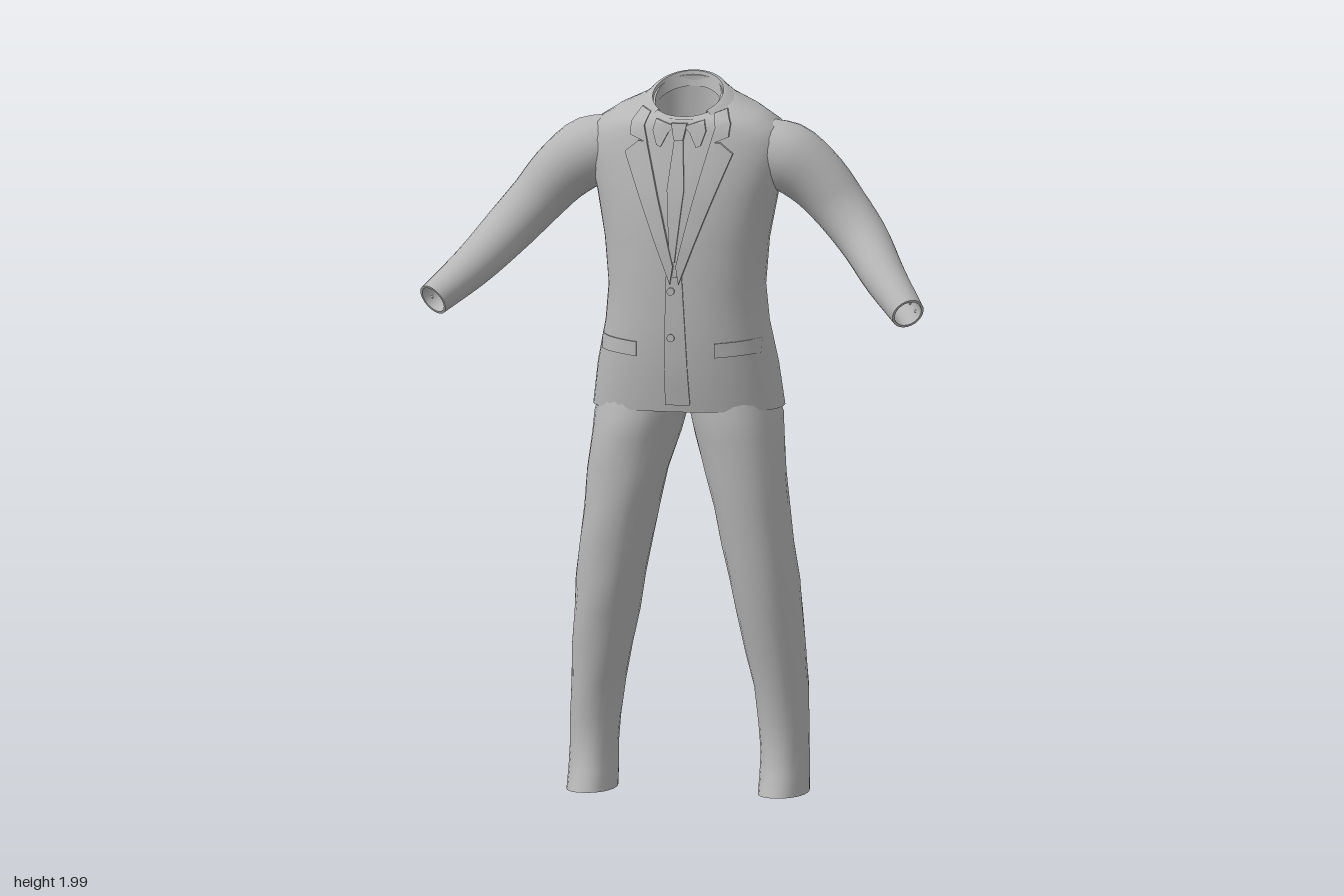
import * as THREE from 'three';
import { toCreasedNormals } from 'three/addons/utils/BufferGeometryUtils.js';

const cloth = new THREE.MeshStandardMaterial({ color: 0xb6b6b6, side: THREE.DoubleSide });
cloth.name = 'grey cloth';

const V = (x, y, z) => new THREE.Vector3(x, y, z);

function addMesh(group, name, geometry, crease = 0.9) {
  const mesh = new THREE.Mesh(toCreasedNormals(geometry, crease), cloth);
  mesh.name = name;
  group.add(mesh);
  return mesh;
}

// Skin a list of equally long point rows; closed rows wrap around
function loft(rows, closed = true, capStart = false, capEnd = false) {
  const n = rows[0].length, pts = rows.flat(), index = [];
  for (let i = 0; i < rows.length - 1; i++) {
    for (let j = 0; j < (closed ? n : n - 1); j++) {
      const k = (j + 1) % n;
      const a = i * n + j, b = i * n + k, c = b + n, d = a + n;
      index.push(a, b, c, a, c, d);
    }
  }
  const cap = (row, flip) => {
    const mid = row.reduce((s, p) => s.add(p), V(0, 0, 0)).divideScalar(n);
    const start = pts.length;
    pts.push(mid, ...row);
    for (let j = 0; j < n; j++) {
      const a = start + 1 + j, b = start + 1 + (j + 1) % n;
      index.push(start, ...(flip ? [b, a] : [a, b]));
    }
  };
  if (capStart) cap(rows[0], true);
  if (capEnd) cap(rows[rows.length - 1], false);
  const geo = new THREE.BufferGeometry().setFromPoints(pts);
  geo.setIndex(index);
  return geo;
}

// Horizontal cross-section [y, half width, front z, back z, tilt]
function section([y, rx, zf, zb, tilt = 0], n = 40, from = 0, to = Math.PI * 2, power = 2.35) {
  const cz = (zf + zb) / 2, rz = (zf - zb) / 2, open = to - from < 6.28;
  const bend = v => Math.sign(v) * Math.abs(v) ** (2 / power);
  return Array.from({ length: n }, (_, j) => {
    const t = from + (to - from) * j / (open ? n - 1 : n);
    const z = rz * bend(Math.cos(t));
    return V(rx * bend(Math.sin(t)), y - tilt * z, cz + z);
  });
}

const JACKET = [
  [1.14, 0.235, 0.09, -0.2], [1.085, 0.255, 0.11, -0.23],
  [1.08, 0.266, 0.12, -0.24], [1.2, 0.25, 0.138, -0.235],
  [1.32, 0.226, 0.142, -0.218], [1.42, 0.217, 0.14, -0.208],
  [1.55, 0.228, 0.138, -0.207], [1.68, 0.252, 0.122, -0.212],
  [1.76, 0.275, 0.102, -0.21], [1.82, 0.283, 0.085, -0.205],
  [1.87, 0.26, 0.075, -0.193, 0.1], [1.905, 0.2, 0.068, -0.178, 0.2],
  [1.925, 0.14, 0.06, -0.163, 0.32], [1.94, 0.105, 0.055, -0.15, 0.5],
  [1.94, 0.09, 0.045, -0.135, 0.5], [1.84, 0.085, 0.03, -0.14, 0.3],
];

const COLLAR = [
  [1.91, 0.09, 0.047, -0.133, 0.5], [1.948, 0.098, 0.055, -0.14, 0.5],
  [1.945, 0.109, 0.062, -0.15, 0.5], [1.905, 0.155, 0.08, -0.18, 0.38],
];

// Sleeve stations: x, y, z, radius
const SLEEVE = [
  [0.2, 1.8, -0.058, 0.085], [0.28, 1.775, -0.058, 0.098], [0.36, 1.715, -0.062, 0.087],
  [0.43, 1.637, -0.055, 0.077], [0.5, 1.558, -0.018, 0.071],
  [0.58, 1.468, 0.083, 0.06], [0.67, 1.385, 0.197, 0.047],
];

function sleeveRows(side, n = 24, steps = 20) {
  const curve = new THREE.CatmullRomCurve3(SLEEVE.map(([x, y, z]) => V(x * side, y, z)));
  const ring = (t, scale) => {
    const c = curve.getPoint(t), T = curve.getTangent(t);
    const f = t * (SLEEVE.length - 1), i = Math.min(Math.floor(f), SLEEVE.length - 2);
    const r = scale * THREE.MathUtils.lerp(SLEEVE[i][3], SLEEVE[i + 1][3], f - i);
    const v = V(side, 1, 0);
    v.addScaledVector(T, -v.dot(T)).normalize();
    const u = v.clone().cross(T);
    return Array.from({ length: n }, (_, j) => {
      const a = j / n * Math.PI * 2;
      return c.clone().addScaledVector(u, r * Math.cos(a)).addScaledVector(v, r * Math.sin(a));
    });
  };
  const rows = Array.from({ length: steps + 1 }, (_, i) => ring(i / steps, 1));
  rows.push(ring(1, 0.85), ring(0.9, 0.7));
  return rows;
}

// Trouser stations: y, inner x, outer x, front z, back z
const LEG = [
  [0.06, 0.225, 0.315, 0.03, -0.15], [0.008, 0.21, 0.33, 0.078, -0.162],
  [0.004, 0.203, 0.337, 0.085, -0.17], [0.06, 0.203, 0.336, 0.055, -0.17],
  [0.12, 0.204, 0.334, 0.038, -0.17], [0.2, 0.198, 0.334, 0.036, -0.172],
  [0.3, 0.185, 0.33, 0.048, -0.182], [0.4, 0.163, 0.325, 0.064, -0.184],
  [0.5, 0.142, 0.318, 0.082, -0.182], [0.6, 0.122, 0.31, 0.094, -0.176],
  [0.7, 0.102, 0.298, 0.102, -0.168], [0.8, 0.08, 0.285, 0.108, -0.165],
  [0.9, 0.056, 0.276, 0.11, -0.172], [1.0, 0.026, 0.267, 0.11, -0.195],
  [1.06, 0.008, 0.26, 0.108, -0.215], [1.15, -0.015, 0.235, 0.09, -0.2],
];

function legRows(side) {
  return LEG.map(([y, xi, xo, zf, zb]) => section([y, (xo - xi) / 2, zf, zb], 28, 0, Math.PI * 2, 2.2)
    .map((p, j) => {
      // slight folds in the cloth
      const fold = 1 + 0.018 * Math.sin(y * 26 + side * j * 0.67) * Math.min(1, y * 4);
      const cz = (zf + zb) / 2;
      return V(side * (xi + xo) / 2 + p.x * fold, p.y, cz + (p.z - cz) * fold);
    }));
}

export function createModel() {
  const suit = new THREE.Group();
  suit.name = 'suit';

  const jacket = addMesh(suit, 'jacketBody',
    loft(JACKET.map(r => section(r)), true, true, true));
  jacket.updateMatrixWorld(true);

  // Depth of the jacket surface, from the front (1) or back (-1)
  const ray = new THREE.Raycaster();
  const surface = (x, y, facing, fallback) => {
    ray.set(V(x + 1e-4, y + 1e-4, facing), V(0, 0, -facing));
    const hit = ray.intersectObject(jacket)[0];
    return hit ? hit.point.z : fallback;
  };

  // Raised cloth piece between two edge lines, laid on the jacket
  function panel(name, A, B, lift = 0.009, facing = 1) {
    const along = 5, across = 6, rows = [];
    const steps = (A.length - 1) * along;
    const at = (L, f) => {
      const i = Math.min(Math.floor(f), L.length - 2);
      return [0, 1].map(k => THREE.MathUtils.lerp(L[i][k], L[i + 1][k], f - i));
    };
    let last = 0.05 * facing;
    for (let i = -1; i <= steps + 1; i++) {
      const f = THREE.MathUtils.clamp(i / along, 0, A.length - 1);
      const a = at(A, f), b = at(B, f), row = [];
      for (let j = -1; j <= across + 1; j++) {
        const t = THREE.MathUtils.clamp(j / across, 0, 1);
        const x = THREE.MathUtils.lerp(a[0], b[0], t), y = THREE.MathUtils.lerp(a[1], b[1], t);
        const rim = i < 0 || i > steps || j < 0 || j > across;
        last = surface(x, y, facing, last);
        row.push(V(x, y, last + facing * (rim ? -0.004 : lift)));
      }
      rows.push(row);
    }
    addMesh(suit, name, loft(rows, false), 0.6);
  }

  // Collar folded around the back of the neck
  addMesh(suit, 'jacketCollar', loft(COLLAR.map(r => section(r, 36, 0.75, Math.PI * 2 - 0.75, 2)), false));

  for (const s of [1, -1]) {
    const side = s > 0 ? 'left' : 'right';
    const m = pts => pts.map(([x, y]) => [x * s, y]);
    addMesh(suit, side + 'Sleeve', loft(sleeveRows(s), true, false, true));
    addMesh(suit, side + 'TrouserLeg', loft(legRows(s), true, true, true));
    panel(side + 'Lapel',
      m([[0.004, 1.49], [0.038, 1.63], [0.074, 1.77], [0.09, 1.83]]),
      m([[0.012, 1.44], [0.085, 1.63], [0.152, 1.8], [0.115, 1.83]]), 0.013);
    panel(side + 'CollarLeaf',
      m([[0.088, 1.825], [0.1, 1.87], [0.09, 1.905]]),
      m([[0.138, 1.845], [0.14, 1.88], [0.12, 1.915]]), 0.011);
    panel(side + 'ShirtCollar',
      m([[0.012, 1.872], [0.03, 1.855], [0.05, 1.815]]),
      m([[0.068, 1.89], [0.075, 1.86], [0.062, 1.82]]), 0.009);
    panel(side + 'PocketFlap',
      m([[0.11, 1.275], [0.225, 1.283]]), m([[0.11, 1.235], [0.225, 1.243]]), 0.008);

    // Row of cuff buttons on the outer side
    for (let i = 0; i < 3; i++) {
      const button = addMesh(suit, side + 'CuffButton', new THREE.SphereGeometry(0.008, 8, 6));
      button.position.set(s * (0.685 - i * 0.02), 1.385 + i * 0.019, 0.147 - i * 0.024);
    }
  }

  // Tie, front overlap and back vent
  panel('tieBlade', [[-0.012, 1.84], [-0.026, 1.7], [-0.014, 1.5]], [[0.012, 1.84], [0.022, 1.7], [0.0, 1.5]], 0.007);
  panel('tieKnot', [[-0.022, 1.88], [-0.013, 1.835]], [[0.022, 1.88], [0.013, 1.835]], 0.014);
  panel('frontOverlap', [[-0.025, 1.46], [-0.028, 1.3], [-0.03, 1.1]], [[0.02, 1.46], [0.03, 1.3], [0.04, 1.1]], 0.005);
  panel('backVent', [[0.0, 1.3], [0.0, 1.085]], [[0.05, 1.3], [0.055, 1.085]], 0.006, -1);

  for (const y of [1.42, 1.29]) {
    const geo = new THREE.CylinderGeometry(0.011, 0.011, 0.008, 14).rotateX(Math.PI / 2);
    const button = addMesh(suit, 'frontButton', geo);
    button.position.set(-0.01, y, surface(-0.01, y, 1, 0.14) + 0.007);
  }
  return suit;
}
